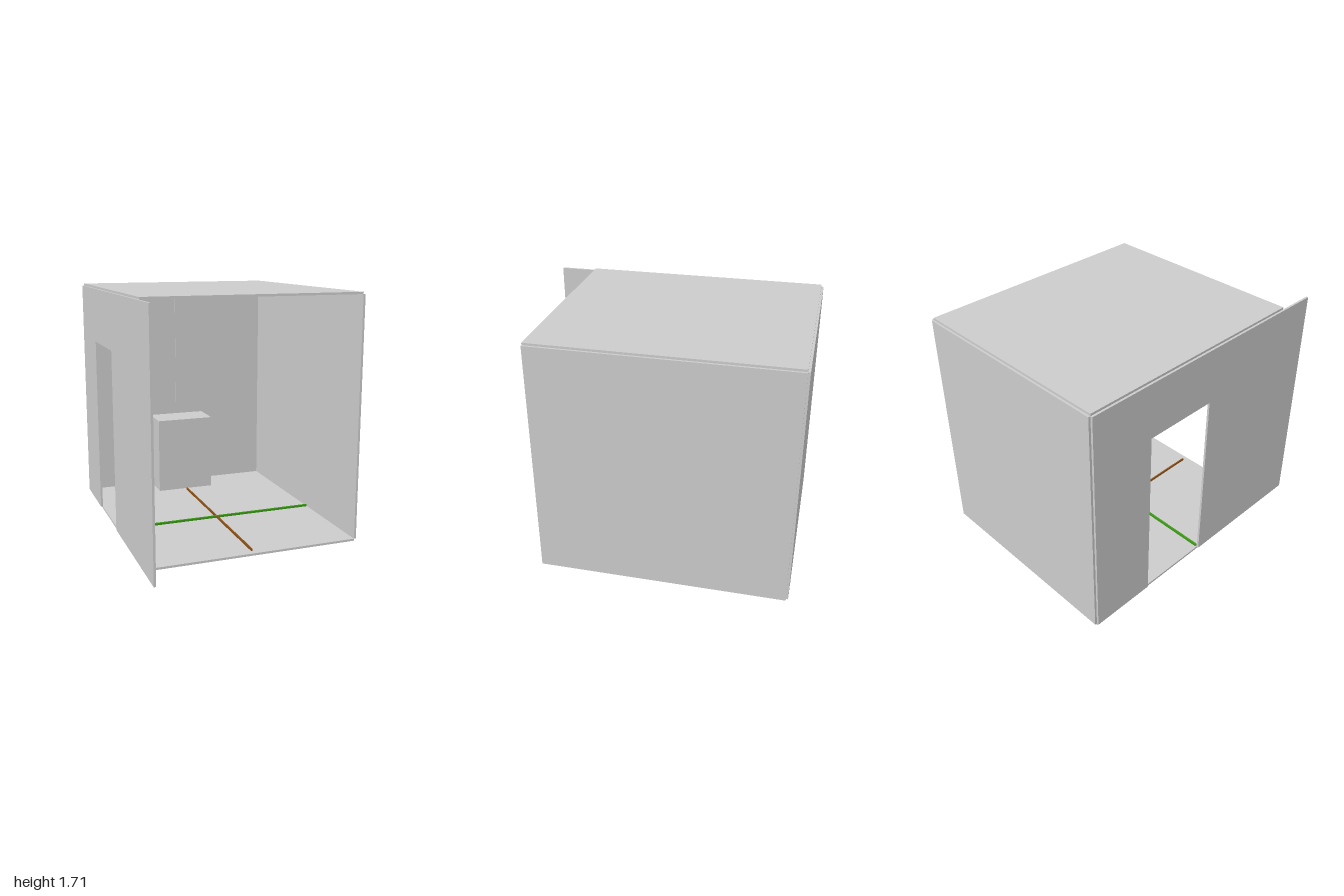
import * as THREE from 'three';

const T = 0.015; // panel thickness
const grey = new THREE.MeshStandardMaterial({ color: 0xcccccc });
const green = new THREE.MeshStandardMaterial({ color: 0x3a9a14 });
const brown = new THREE.MeshStandardMaterial({ color: 0x8a4f14 });

// Box given by its extents along each axis
function block(name, [x0, x1], [y0, y1], [z0, z1], material = grey) {
  const mesh = new THREE.Mesh(new THREE.BoxGeometry(x1 - x0, y1 - y0, z1 - z0), material);
  mesh.position.set((x0 + x1) / 2, (y0 + y1) / 2, (z0 + z1) / 2);
  mesh.name = name;
  return mesh;
}

// Long side wall with a doorway open to the floor
function doorWall(z0, z1, y0, y1) {
  const d0 = -0.52, d1 = 0.01, dTop = 1.3;
  const outline = [[z0, y0], [d0, y0], [d0, dTop], [d1, dTop], [d1, y0], [z1, y0], [z1, y1], [z0, y1]];
  const shape = new THREE.Shape(outline.map(([z, y]) => new THREE.Vector2(-z, y)));
  const geometry = new THREE.ExtrudeGeometry(shape, { depth: T, bevelEnabled: false });
  geometry.rotateY(Math.PI / 2); // shape x becomes -z, depth becomes +x
  const mesh = new THREE.Mesh(geometry, grey);
  mesh.name = 'doorwayWall';
  return mesh;
}

export function createModel() {
  const group = new THREE.Group();
  group.name = 'openRoom';
  const W = 0.745, back = -0.985, front = 0.735, low = T, high = 1.69;

  // Floor and roof
  group.add(block('floor', [-W, W], [0, low], [back, front]));
  group.add(block('roof', [-W, W], [high, high + T], [back, front]));

  // Walls
  group.add(block('backWall', [-W, W], [low, high], [back - T, back]));
  group.add(block('leftWall', [W, W + T], [low, high], [back, front]));
  const wall = doorWall(back, 1, low, high);
  wall.position.x = -W - T;
  group.add(wall);

  // Crossing guide strips on the floor
  group.add(block('crossStrip', [-0.735, 0.74], [low, 0.03], [0.005, 0.02], green));
  group.add(block('lengthStrip', [-0.006, 0.006], [low, 0.029], [-0.7, 0.69], brown));

  // Cabinet against the back wall with a thin upright line above it
  group.add(block('cabinet', [-0.225, 0.225], [low, 0.605], [back, back + 0.25]));
  group.add(block('uprightStrip', [-0.003, 0.003], [0.605, high], [back, back + 0.006]));
  return group;
}
